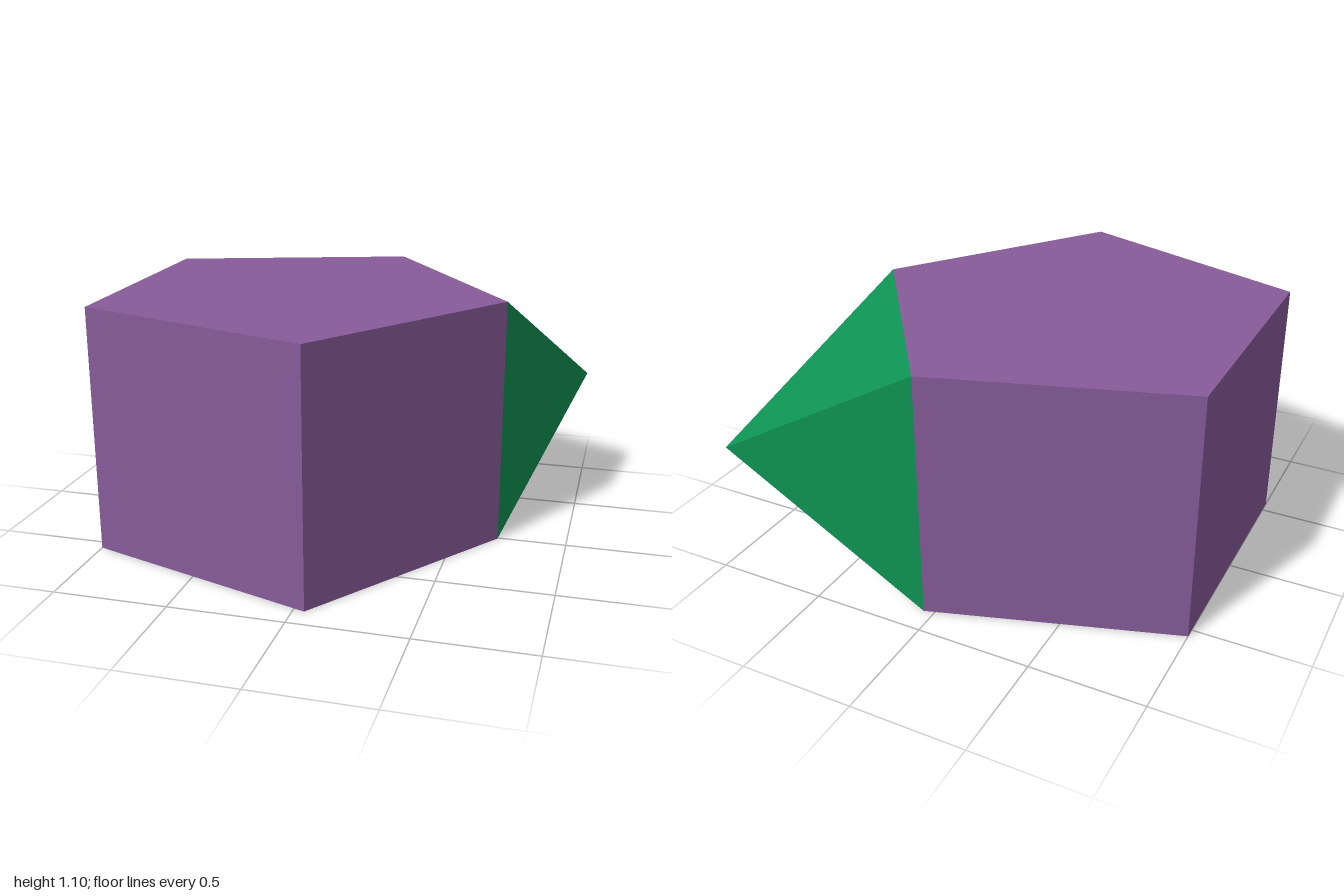
import * as THREE from 'three';

const R = 0.9363;                               // pentagon circumradius
const EDGE = 2 * R * Math.sin(Math.PI / 5);     // every edge has this length
const APOTHEM = R * Math.cos(Math.PI / 5);
const RISE = EDGE / Math.SQRT2;                 // height of the equilateral pyramid

const purple = new THREE.MeshStandardMaterial({ color: 0x875b99 });
const green = new THREE.MeshStandardMaterial({ color: 0x0f9253 });
purple.name = 'purple';
green.name = 'green';

function facetedMesh(name, geometry, material) {
  const flat = geometry.toNonIndexed();
  flat.computeVertexNormals();
  const mesh = new THREE.Mesh(flat, material);
  mesh.name = name;
  return mesh;
}

export function createModel() {
  const model = new THREE.Group();
  model.name = 'augmentedPentagonalPrism';

  // Pentagonal prism with one vertical edge pointing to +x
  const prism = facetedMesh('pentagonalPrism',
    new THREE.CylinderGeometry(R, R, EDGE, 5, 1, false, Math.PI / 2), purple);

  // Open square pyramid seated on the back left face of the prism
  const pyramid = facetedMesh('squarePyramid',
    new THREE.ConeGeometry(RISE, RISE, 4, 1, true, Math.PI / 4), green);
  const angle = Math.PI / 5;
  const reach = APOTHEM + RISE / 2;
  pyramid.rotation.set(0, angle, -Math.PI / 2);
  pyramid.position.set(reach * Math.cos(angle), 0, -reach * Math.sin(angle));

  model.add(prism, pyramid);
  // Centre the whole solid and stand it on the ground
  for (const part of model.children) {
    part.position.add(new THREE.Vector3(-1 + APOTHEM, EDGE / 2, 0.006));
  }
  return model;
}
